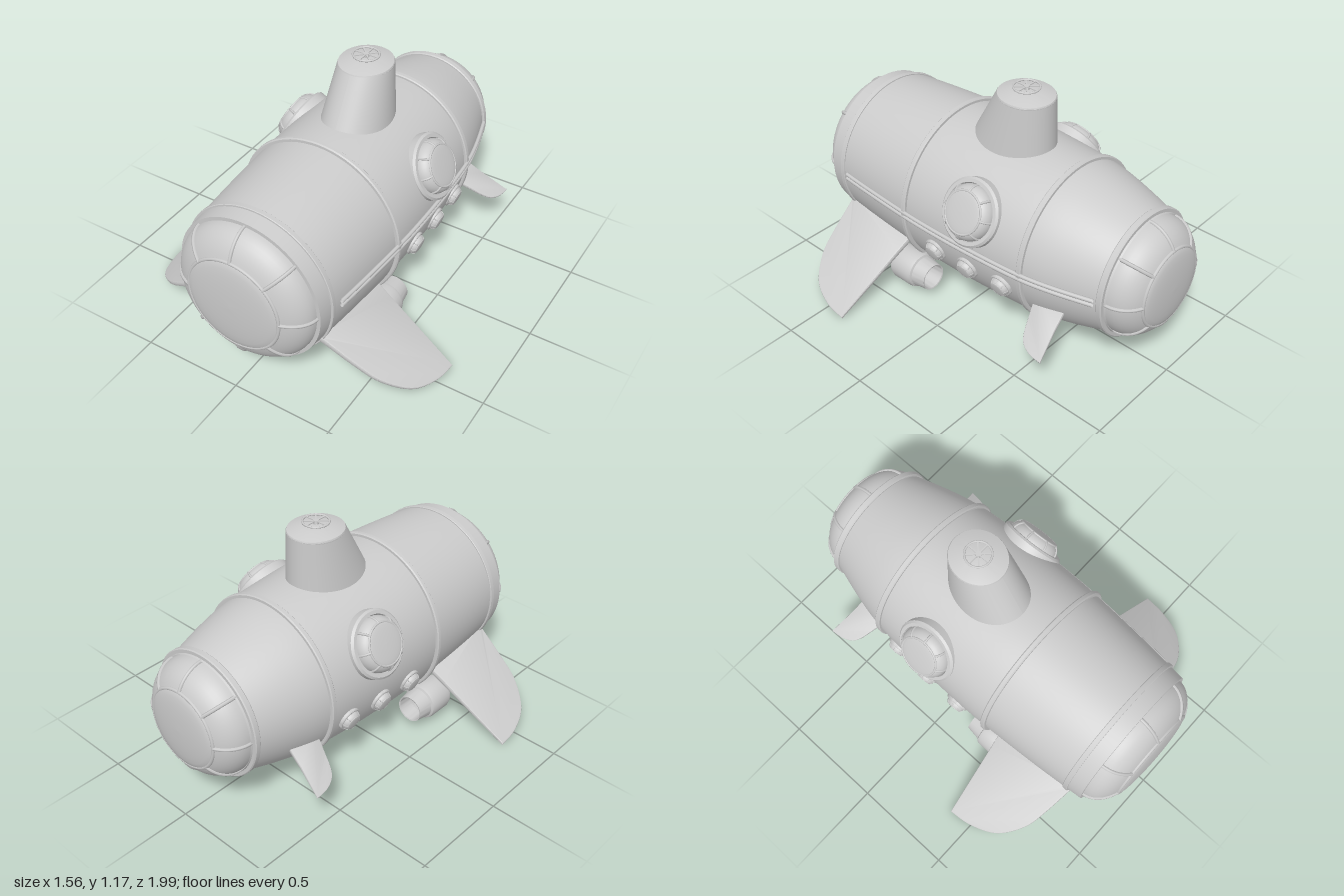
import * as THREE from 'three';
import { toCreasedNormals } from 'three/addons/utils/BufferGeometryUtils.js';

const AXIS_Y = 0.49;
const UP = new THREE.Vector3(0, 1, 0);
const mat = new THREE.MeshStandardMaterial({ color: 0xcccccc, side: THREE.DoubleSide });
const v2 = (pts) => pts.map(([x, y]) => new THREE.Vector2(x, y));

function add(parent, name, geo) {
  const mesh = new THREE.Mesh(geo, mat);
  mesh.name = name;
  parent.add(mesh);
  return mesh;
}

function group(parent, name) {
  const g = new THREE.Group();
  g.name = name;
  parent.add(g);
  return g;
}

// Revolved profile of [radius, height] pairs; sharp edges kept
function lathe(pts, seg = 48, crease = 0.5) {
  return toCreasedNormals(new THREE.LatheGeometry(v2(pts), seg), crease);
}

// Hull profile: radius against length
const hullPts = new THREE.SplineCurve(v2([
  [0.295, -0.84], [0.358, -0.62], [0.395, -0.43], [0.414, -0.15],
  [0.419, 0.1], [0.414, 0.3], [0.395, 0.6], [0.372, 0.85],
])).getPoints(48);

function radiusAt(z) {
  const i = Math.max(1, hullPts.findIndex((p) => p.y >= z));
  const a = hullPts[i - 1], b = hullPts[i];
  return THREE.MathUtils.mapLinear(z, a.y, b.y, a.x, b.x);
}

// Domed window along +y: paned skirt, centre pane, frame ring and ribs
function dome(parent, name, rBase, rWin, h1, h2, bar, seg = 48) {
  const g = group(parent, name);
  const arc = [];
  const end = 1.15;
  for (let i = 0; i <= 8; i++) {
    const t = (end * i) / 8;
    const k = (Math.cos(t) - Math.cos(end)) / (1 - Math.cos(end));
    arc.push([rWin + (rBase - rWin) * k, (h1 * Math.sin(t)) / Math.sin(end)]);
  }
  add(g, 'paneSkirt', new THREE.LatheGeometry(v2(arc), seg));
  const pane = [];
  for (let i = 0; i <= 6; i++) {
    const t = (i / 6) * Math.PI / 2;
    pane.push([rWin * Math.cos(t), h1 + (h2 - h1) * Math.sin(t)]);
  }
  add(g, 'centrePane', new THREE.LatheGeometry(v2(pane), seg));
  add(g, 'frameRing', new THREE.TorusGeometry(rWin, bar, 8, seg)).rotation.x = Math.PI / 2;
  g.children[2].position.y = h1 - bar * 0.2;
  const path = new THREE.CatmullRomCurve3(arc.map(([r, y]) => new THREE.Vector3(r, y, 0)));
  const ribGeo = new THREE.TubeGeometry(path, 10, bar, 6);
  for (let i = 0; i < 8; i++) add(g, 'rib', ribGeo).rotation.y = (i * Math.PI) / 4;
  return g;
}

// Spoked wheel lying flat in xz
function wheel(parent, name, r, tube, spokes) {
  const g = group(parent, name);
  add(g, 'rim', new THREE.TorusGeometry(r, tube, 8, 32)).rotation.x = Math.PI / 2;
  add(g, 'hub', new THREE.CylinderGeometry(r * 0.22, r * 0.22, tube * 1.8, 16));
  for (let i = 0; i < spokes; i++) {
    const a = (i / spokes) * Math.PI * 2;
    const s = add(g, 'spoke', new THREE.BoxGeometry(r, tube, tube * 1.2));
    s.position.set((Math.cos(a) * r) / 2, 0, (-Math.sin(a) * r) / 2);
    s.rotation.y = a;
  }
  return g;
}

// Shallow lid with a hand wheel
function hatch(parent, name) {
  const g = group(parent, name);
  add(g, 'lid', lathe([[0.128, -0.03], [0.131, 0], [0.128, 0.008], [0.07, 0.027], [0, 0.029]], 48, 0.4));
  add(g, 'stem', new THREE.CylinderGeometry(0.014, 0.014, 0.03, 16)).position.y = 0.03;
  wheel(g, 'handWheel', 0.062, 0.005, 8).position.y = 0.041;
  return g;
}

// Porthole set square to the hull, at an angle above the horizontal
function porthole(parent, name, side, angle, z, r, out, depth, h) {
  const g = group(parent, name);
  const n = new THREE.Vector3(side * Math.cos(angle), Math.sin(angle), 0);
  g.position.copy(n).multiplyScalar(radiusAt(z) + out).add(new THREE.Vector3(0, AXIS_Y, z));
  g.quaternion.setFromUnitVectors(UP, n);
  const e = r * 0.06;
  add(g, 'collar', lathe([[r, -depth], [r, -e], [r - e, 0], [r * 0.84, 0], [r * 0.8, -e * 2]], 40));
  dome(g, 'glass', r * 0.81, r * 0.62, h * 0.85, h, r * 0.035, 40).position.y = -e;
}

// Fin sloping down and out; outline given as [x, z] in plan
function fin(parent, name, side, root, rootY, slope, thick, outline) {
  const c = Math.cos(slope), s = Math.sin(slope);
  const flat = outline.map((p) => p.map(([x, z]) => new THREE.Vector2((x - root) / c, z)));
  const shape = new THREE.Shape();
  shape.moveTo(flat[0][0].x, flat[0][0].y);
  for (const p of flat[0].slice(1)) shape.lineTo(p.x, p.y);
  shape.splineThru(flat[1]);
  const bevel = thick * 0.25;
  const geo = new THREE.ExtrudeGeometry(shape, {
    depth: thick - 2 * bevel, bevelThickness: bevel, bevelSize: bevel,
    bevelOffset: -bevel, bevelSegments: 2, curveSegments: 20,
  });
  geo.translate(0, 0, bevel - thick / 2);
  geo.computeBoundingBox();
  const len = geo.boundingBox.max.x;
  const p = geo.attributes.position;
  for (let i = 0; i < p.count; i++) p.setZ(i, p.getZ(i) * (1 - (0.5 * p.getX(i)) / len));
  const X = new THREE.Vector3(side * c, -s, 0), Y = new THREE.Vector3(0, 0, 1);
  const m = new THREE.Matrix4().makeBasis(X, Y, X.clone().cross(Y));
  m.setPosition(side * root, rootY, 0);
  add(parent, name, toCreasedNormals(geo.applyMatrix4(m), 0.6));
}

export function createModel() {
  const model = new THREE.Group();
  model.name = 'submarine';

  // Hull, bands and end domes along +z
  const body = group(model, 'body');
  body.position.y = AXIS_Y;
  body.rotation.x = Math.PI / 2;
  add(body, 'hull', new THREE.LatheGeometry(hullPts, 72));
  const band = (name, z, w, h) => {
    const r = radiusAt(z), d = h * 0.3;
    add(body, name, lathe([[r - 0.02, z - w], [r + h - d, z - w], [r + h, z - w + d],
      [r + h, z + w - d], [r + h - d, z + w], [r - 0.02, z + w]], 72));
  };
  band('bandBow', 0.765, 0.013, 0.009);
  band('bandFront', 0.28, 0.013, 0.018);
  band('bandRear', -0.435, 0.014, 0.016);
  band('bandStern', -0.815, 0.016, 0.016);
  add(body, 'bowLip', lathe([[0.372, 0.85], [0.35, 0.85], [0.35, 0.84]], 72));
  dome(body, 'bowDome', 0.355, 0.237, 0.125, 0.152, 0.009, 64).position.y = 0.842;
  const stern = dome(body, 'sternDome', 0.29, 0.195, 0.135, 0.163, 0.009, 64);
  stern.position.y = -0.832;
  stern.rotation.x = Math.PI;

  // Tower: round section, leaning front, near-upright back
  const tower = new THREE.CylinderGeometry(1, 1, 1, 64, 6, true);
  const p = tower.attributes.position;
  const { lerp } = THREE.MathUtils;
  for (let i = 0; i < p.count; i++) {
    const t = p.getY(i) + 0.5;
    p.setXYZ(i, p.getX(i) * lerp(0.172, 0.13, t), lerp(0.8, 1.135, t),
      p.getZ(i) * lerp(0.24, 0.1425, t) + lerp(-0.035, -0.1225, t));
  }
  tower.computeVertexNormals();
  add(model, 'tower', tower);
  const top = hatch(model, 'topHatch');
  top.position.set(0, 1.132, -0.1225);
  top.children[0].scale.z = 1.09;
  const bottom = hatch(model, 'bottomHatch');
  bottom.position.set(0, 0.084, -0.12);
  bottom.rotation.x = Math.PI;

  // Twin rail along the left side only
  for (const dy of [-0.012, 0.012]) {
    const pts = [];
    for (let i = 0; i <= 20; i++) {
      const z = 0.72 - (1.51 * i) / 20;
      pts.push(new THREE.Vector3(radiusAt(z) + 0.011, AXIS_Y + 0.007 + dy, z));
    }
    add(model, 'sideRail', new THREE.TubeGeometry(new THREE.CatmullRomCurve3(pts), 40, 0.01, 8));
  }

  for (const side of [1, -1]) {
    // Portholes
    porthole(model, 'largePorthole', side, 0.47, -0.12, 0.163, 0.018, 0.07, 0.062);
    for (const z of [0.09, -0.115, -0.32])
      porthole(model, 'smallPorthole', side, -0.29, z, 0.06, 0.01, 0.03, 0.03);

    // Fins
    fin(model, 'frontFin', side, 0.3, 0.298, 0.544, 0.032, [
      [[0.3, 0.77], [0.3, 0.325], [0.42, 0.34], [0.78, 0.38]],
      [[0.765, 0.5], [0.71, 0.63], [0.6, 0.72], [0.48, 0.755], [0.3, 0.785]]]);
    fin(model, 'rearFin', side, 0.28, 0.365, 0.518, 0.022, [
      [[0.28, -0.45], [0.28, -0.63], [0.4, -0.65], [0.533, -0.68]],
      [[0.525, -0.61], [0.5, -0.555], [0.46, -0.525], [0.4, -0.5], [0.28, -0.45]]]);

    // Thruster: open shroud with a spoked intake at the front
    const thruster = group(model, 'thruster');
    thruster.position.set(side * 0.352, 0.12, 0);
    thruster.rotation.x = Math.PI / 2;
    add(thruster, 'shroud', lathe([[0.058, 0.25], [0.062, 0.172], [0.068, 0.17], [0.078, 0.245],
      [0.088, 0.25], [0.092, 0.265], [0.092, 0.37], [0.086, 0.388], [0.076, 0.388], [0.072, 0.34]]));
    add(thruster, 'innerWall', new THREE.CylinderGeometry(0.072, 0.058, 0.1, 48, 1, true)).position.y = 0.295;
    add(thruster, 'backPlate', new THREE.CylinderGeometry(0.068, 0.068, 0.006, 48)).position.y = 0.3;
    wheel(thruster, 'intakeFan', 0.07, 0.006, 12).position.y = 0.375;
  }
  return model;
}
